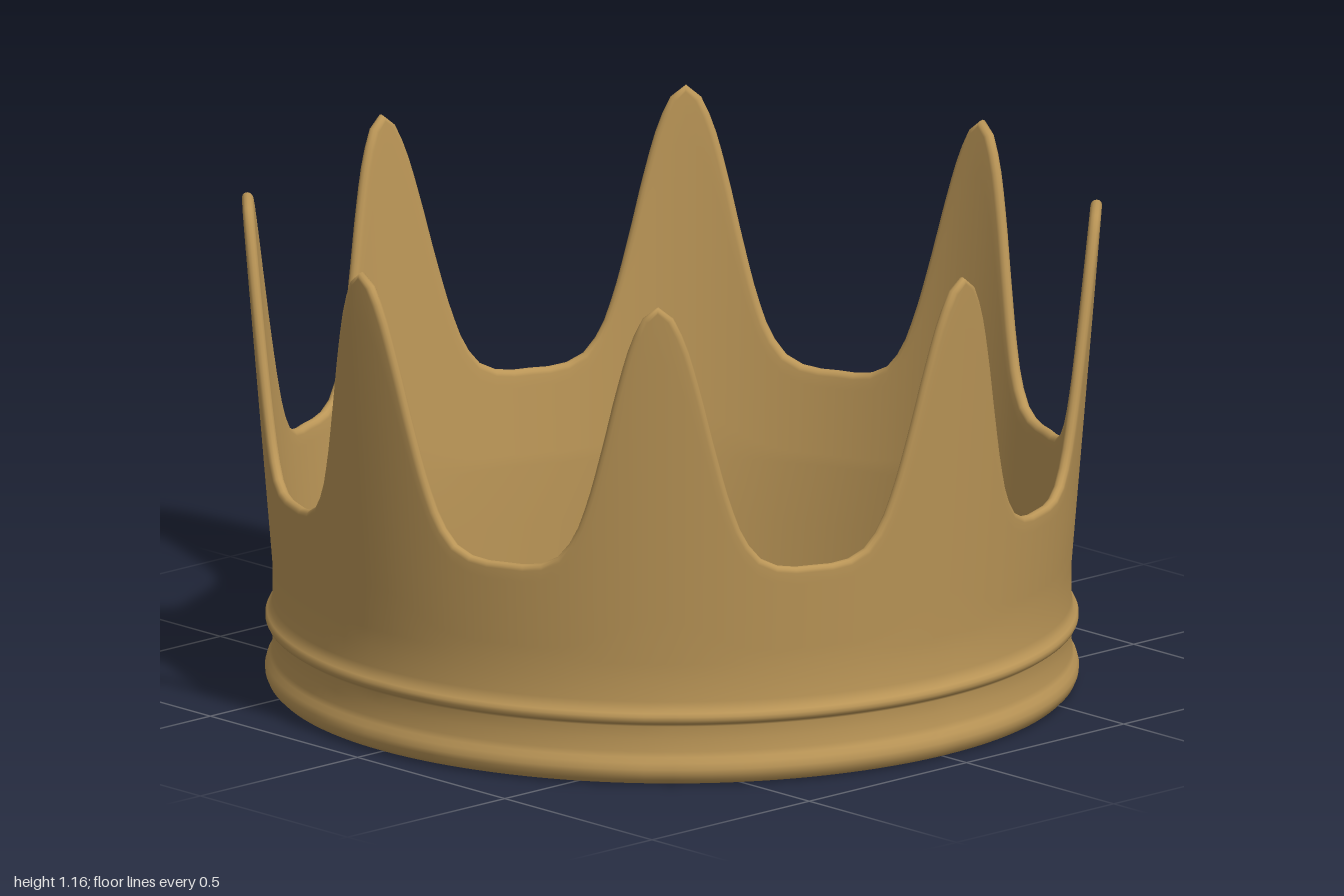
import * as THREE from 'three';

const TEETH = 8, SAMPLES = 36, ROWS = 8, BEVEL = 0.014;

// Upper edge of half a tooth: [angle from the tip, height]
const HALF_EDGE = [
  [0, 1.165], [0.03, 1.145], [0.065, 1.075], [0.1, 0.96], [0.14, 0.805],
  [0.18, 0.67], [0.217, 0.585], [0.265, 0.533], [0.325, 0.516], [Math.PI / TEETH, 0.515],
];

// Outside of the base with its two beads: [radius, height]
const BASE = [
  [0.902, 0], [0.915, 0], [0.928, 0.004], [0.938, 0.014], [0.944, 0.028], [0.945, 0.04],
  [0.941, 0.055], [0.933, 0.067], [0.929, 0.08], [0.927, 0.11], [0.927, 0.14],
  [0.931, 0.146], [0.94, 0.15], [0.944, 0.158], [0.944, 0.166], [0.94, 0.174],
  [0.932, 0.182], [0.928, 0.2], [0.927, 0.25],
];

// The walls stand straight, then flare towards the tips
const flare = (y) => Math.max(0, (y - 0.28) / 0.885);
const outerRadius = (y) => 0.927 + 0.073 * flare(y);
const innerRadius = (y) => 0.9 + 0.073 * flare(y);

// One whole tooth edge, valley to valley, with the inward direction at each sample
function toothEdge() {
  const R = 0.95;
  const right = HALF_EDGE.map(([a, y]) => new THREE.Vector3(a * R, y, 0));
  const left = right.slice(1).reverse().map((p) => new THREE.Vector3(-p.x, p.y, 0));
  const curve = new THREE.CatmullRomCurve3([...left, ...right]);
  const edge = [];
  for (let i = 0; i < SAMPLES; i++) {
    const p = curve.getPointAt(i / SAMPLES);
    const t = i === 0 ? new THREE.Vector3(1, 0, 0) : curve.getTangentAt(i / SAMPLES);
    edge.push({ a: p.x / R, y: p.y, da: t.y / R, dy: -t.x });
  }
  return edge;
}

// Closed cross-section of the wall at one edge sample: [angle, radius, height]
function section({ a, y, da, dy }) {
  const pts = BASE.map(([r, h]) => [a, r, h]);
  const inset = (d) => [a + da * d, y + dy * d];
  const [ra, ry] = inset(BEVEL);
  const bottom = 0.29;
  const wall = (k, radius) => {
    const t = k / ROWS;
    const h = bottom + (ry - bottom) * t;
    return [a + (ra - a) * t, radius(h), h];
  };
  for (let k = 0; k <= ROWS; k++) pts.push(wall(k, outerRadius));
  // rounded rim
  for (let k = 1; k < 6; k++) {
    const w = (k / 6) * Math.PI;
    const [pa, py] = inset(BEVEL * (1 - Math.sin(w)));
    const mid = (outerRadius(py) + innerRadius(py)) / 2;
    const half = (outerRadius(py) - innerRadius(py)) / 2;
    pts.push([pa, mid + half * Math.cos(w), py]);
  }
  for (let k = ROWS; k >= 0; k--) pts.push(wall(k, innerRadius));
  pts.push([a, 0.9, 0.15], [a, 0.9, 0.02], [a, 0.9, 0.003]);
  return pts;
}

function crownGeometry() {
  const sections = toothEdge().map(section);
  const n = sections[0].length, columns = TEETH * SAMPLES;
  const position = [], index = [];
  for (let j = 0; j < columns; j++) {
    const turn = Math.floor(j / SAMPLES) * (2 * Math.PI / TEETH);
    for (const [a, r, y] of sections[j % SAMPLES]) {
      position.push(r * Math.sin(a + turn), y, r * Math.cos(a + turn));
    }
    const c = j * n, d = ((j + 1) % columns) * n;
    for (let i = 0; i < n; i++) {
      const k = (i + 1) % n;
      index.push(c + i, d + i, d + k, c + i, d + k, c + k);
    }
  }
  const geometry = new THREE.BufferGeometry();
  geometry.setAttribute('position', new THREE.Float32BufferAttribute(position, 3));
  geometry.setIndex(index);
  geometry.computeVertexNormals();
  return geometry;
}

export function createModel() {
  const group = new THREE.Group();
  group.name = 'crown';
  const gold = new THREE.MeshStandardMaterial({ color: 0xbb9657 });
  const band = new THREE.Mesh(crownGeometry(), gold);
  band.name = 'pointedBand';
  group.add(band);
  return group;
}
